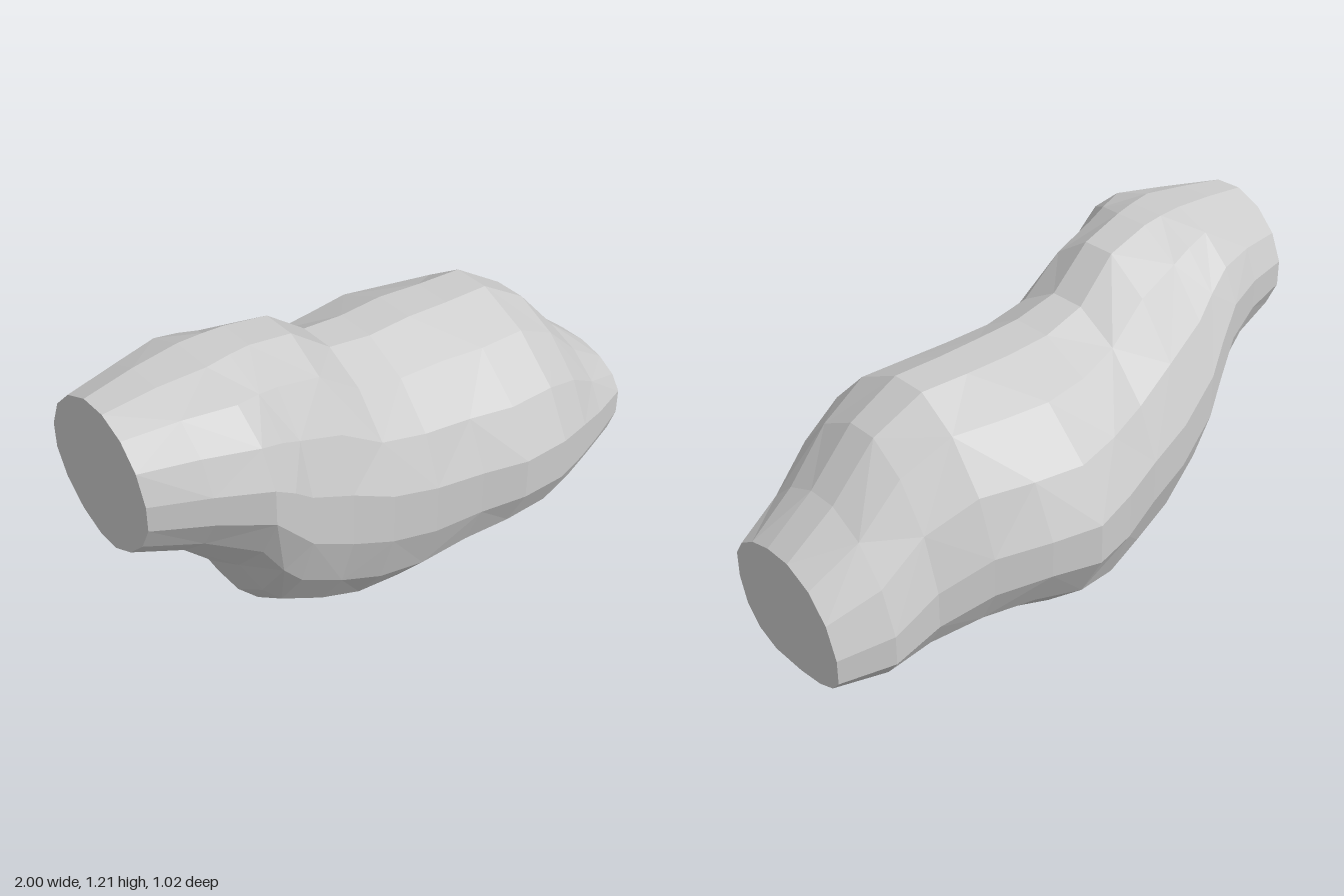
import * as THREE from 'three';

const SIDES = 16;

// Cross-sections along x: [x, top, bottom, front, back, height of widest point, z of ridge]
const SECTIONS = [
  [-1.00, 1.18, 0.68, 0.34, -0.16, 0.92, 0.10],
  [-0.83, 1.20, 0.60, 0.42, -0.20, 0.91, 0.09],
  [-0.67, 1.21, 0.44, 0.495, -0.26, 0.89, 0.09],
  [-0.58, 1.205, 0.26, 0.465, -0.295, 0.80, 0.08],
  [-0.50, 1.195, 0.17, 0.44, -0.33, 0.71, 0.07],
  [-0.33, 1.15, 0.07, 0.42, -0.375, 0.61, 0.05],
  [-0.17, 1.02, 0.005, 0.425, -0.40, 0.54, 0.03],
  [0.00, 0.985, 0.00, 0.44, -0.46, 0.50, 0.02],
  [0.17, 0.98, 0.05, 0.47, -0.51, 0.50, 0.01],
  [0.33, 0.97, 0.09, 0.51, -0.46, 0.50, 0.01],
  [0.50, 0.965, 0.105, 0.51, -0.385, 0.50, 0.01],
  [0.67, 0.86, 0.11, 0.44, -0.32, 0.45, 0.03],
  [0.83, 0.68, 0.12, 0.365, -0.31, 0.40, 0.04],
  [1.00, 0.54, 0.14, 0.295, -0.24, 0.39, 0.05],
];

// Roundness along x: [x, drop of the rear widest point, then the curve power of the
// upper front, upper rear, lower rear and lower front quarters] (above 1 is slimmer)
const ROUNDNESS = [
  [-1.00, 0.00, 1.00, 1.05, 1.10, 1.20],
  [-0.67, 0.00, 0.95, 1.05, 1.15, 1.30],
  [-0.42, 0.02, 1.00, 1.35, 1.10, 1.10],
  [0.00, 0.00, 1.10, 1.15, 1.10, 1.00],
  [0.30, 0.02, 1.20, 1.20, 1.20, 1.00],
  [0.75, 0.10, 1.15, 1.15, 0.95, 0.90],
  [1.00, 0.14, 1.00, 1.00, 0.80, 0.85],
];

function roundnessAt(x) {
  const n = Math.max(1, ROUNDNESS.findIndex((row) => row[0] >= x));
  const from = ROUNDNESS[n - 1], to = ROUNDNESS[n];
  const t = (x - from[0]) / (to[0] - from[0]);
  return from.map((v, i) => THREE.MathUtils.lerp(v, to[i], t));
}

// Point on a section made of four quarter curves, flat at its top, bottom and sides
function sectionPoint([x, top, bottom, front, back, frontMidY, midZ], j) {
  const [, drop, upperFront, upperRear, lowerRear, lowerFront] = roundnessAt(x);
  const a = ((j + 0.5) / SIDES) * Math.PI * 2;
  const edge = Math.cos(Math.PI / SIDES);
  const c = Math.cos(a) / edge, s = Math.sin(a) / edge;
  const power = c > 0 ? (s > 0 ? upperFront : lowerFront) : (s > 0 ? upperRear : lowerRear);
  const midY = c > 0 ? frontMidY : frontMidY - drop;
  const curve = (v) => Math.sign(v) * Math.pow(Math.abs(v), power);
  return [
    x,
    midY + curve(s) * (s > 0 ? top - midY : midY - bottom),
    midZ + curve(c) * (c > 0 ? front - midZ : midZ - back),
  ];
}

function facetedMesh(name, positions, index, material) {
  let geometry = new THREE.BufferGeometry();
  geometry.setAttribute('position', new THREE.Float32BufferAttribute(positions, 3));
  geometry.setIndex(index);
  geometry = geometry.toNonIndexed();
  geometry.computeVertexNormals();
  const mesh = new THREE.Mesh(geometry, material);
  mesh.name = name;
  return mesh;
}

// Flat end cut, facing -x or +x
function endCap(name, section, facesRight, material) {
  const positions = [section[0], section[5], section[6]];
  const index = [];
  for (let j = 0; j < SIDES; j++) {
    positions.push(...sectionPoint(section, j));
    const a = 1 + j, b = 1 + ((j + 1) % SIDES);
    index.push(0, ...(facesRight ? [b, a] : [a, b]));
  }
  return facetedMesh(name, positions, index, material);
}

export function createModel() {
  const group = new THREE.Group();
  group.name = 'lumpyBody';
  const material = new THREE.MeshStandardMaterial({ color: 0xcccccc, flatShading: true });

  // Skin lofted through the sections, with alternating diagonals
  const positions = [], index = [];
  SECTIONS.forEach((section, i) => {
    for (let j = 0; j < SIDES; j++) {
      positions.push(...sectionPoint(section, j));
      if (i === SECTIONS.length - 1) continue;
      const k = (j + 1) % SIDES;
      const a = i * SIDES + j, b = i * SIDES + k;
      const c = a + SIDES, d = b + SIDES;
      if ((i + j) % 2) index.push(a, c, d, a, d, b);
      else index.push(a, c, b, c, d, b);
    }
  });
  group.add(facetedMesh('bodySkin', positions, index, material));

  // Cut ends
  group.add(endCap('upperEndCap', SECTIONS[0], false, material));
  group.add(endCap('lowerEndCap', SECTIONS[SECTIONS.length - 1], true, material));
  return group;
}
